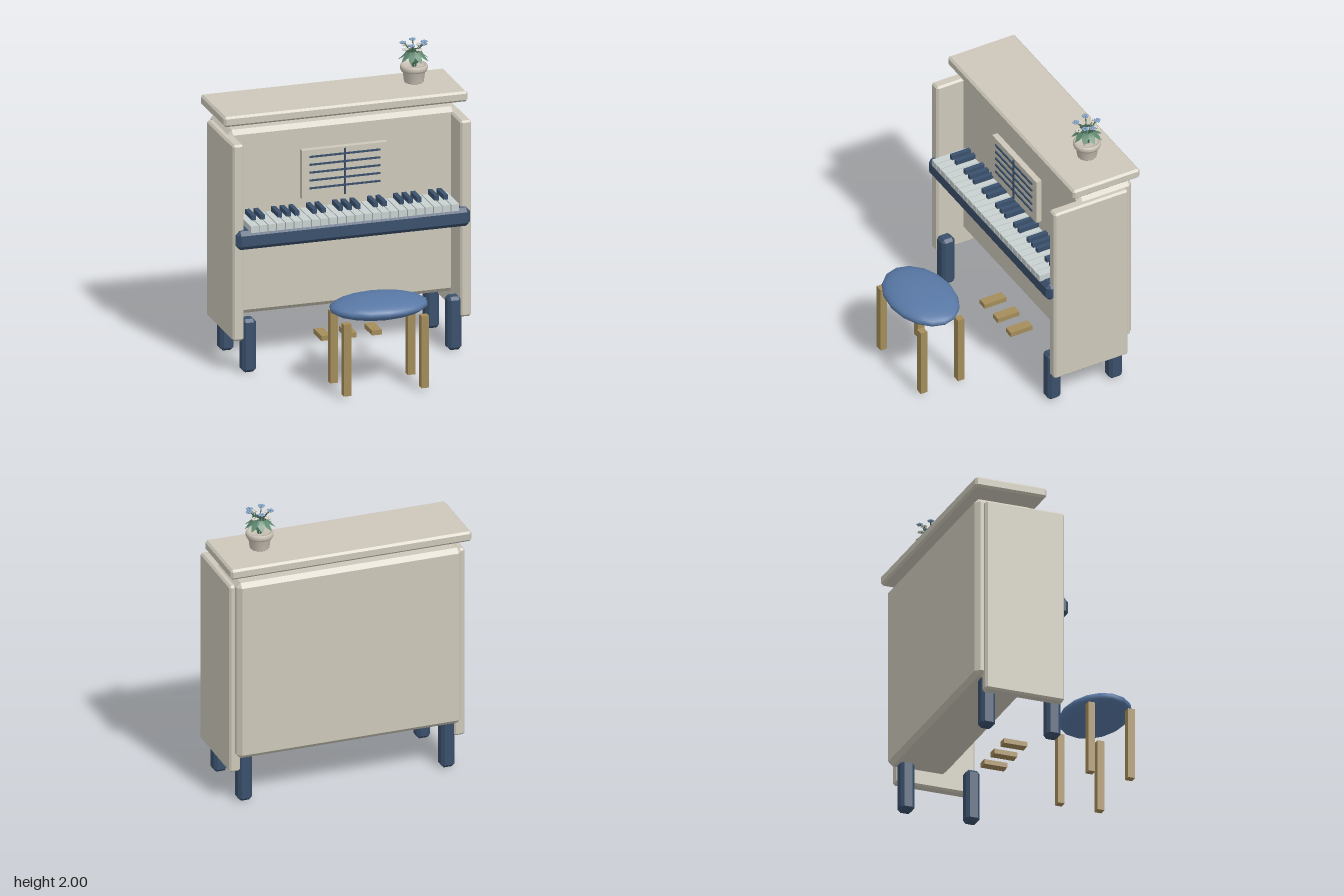
import * as THREE from 'three';
import { ConvexGeometry } from 'three/addons/geometries/ConvexGeometry.js';

const mat = (color, opts = {}) => new THREE.MeshStandardMaterial({ color, ...opts });
const cream = mat(0xcdc8ba);
const navy = mat(0x3a506c);
const wood = mat(0xa48c5a);
const keyWhite = mat(0xc8d0d0);
const cushion = mat(0x5878a5);
const potMat = mat(0xc8c0b4);
const leafMat = mat(0x5f8a70, { side: THREE.DoubleSide });
const stemMat = mat(0x4a6a55);
const petalMats = [mat(0x7f9fc4), mat(0xd6d3c8)];

// Box between two corners with every edge cut by a flat bevel b
function bevelBox(w, h, d, b) {
  const pts = [];
  const half = [w / 2, h / 2, d / 2];
  for (const sx of [-1, 1]) for (const sy of [-1, 1]) for (const sz of [-1, 1]) {
    for (let full = 0; full < 3; full++) {
      const c = half.map((v, i) => (i === full ? v : v - b));
      pts.push(new THREE.Vector3(sx * c[0], sy * c[1], sz * c[2]));
    }
  }
  return new ConvexGeometry(pts);
}

function block(parent, name, material, [x0, x1], [y0, y1], [z0, z1], bevel = 0) {
  const w = x1 - x0, h = y1 - y0, d = z1 - z0;
  const geo = bevel ? bevelBox(w, h, d, bevel) : new THREE.BoxGeometry(w, h, d);
  const mesh = new THREE.Mesh(geo, material);
  mesh.name = name;
  mesh.position.set((x0 + x1) / 2, (y0 + y1) / 2, (z0 + z1) / 2);
  parent.add(mesh);
  return mesh;
}

function group(parent, name) {
  const g = new THREE.Group();
  g.name = name;
  parent.add(g);
  return g;
}

// Cabinet, lid, side panels and feet
function buildCabinet(root) {
  const g = group(root, 'cabinet');
  block(g, 'body', cream, [-0.775, 0.775], [0.33, 1.587], [-0.67, -0.265], 0.03);
  block(g, 'lid', cream, [-0.828, 0.828], [1.64, 1.71], [-0.692, -0.197], 0.014);
  for (const s of [-1, 1]) {
    const side = s > 0 ? 'left' : 'right';
    block(g, side + 'SidePanel', cream, [s * 0.773 - 0.038, s * 0.773 + 0.038], [0.222, 1.558], [-0.615, -0.068], 0.013);
    for (const [name, z] of [['FrontLeg', -0.112], ['BackLeg', -0.566]]) {
      block(g, side + name, navy, [s * 0.698 - 0.047, s * 0.698 + 0.047], [0, 0.362], [z - 0.048, z + 0.048], 0.02);
    }
  }
  [-0.172, 0, 0.172].forEach((x) =>
    block(g, 'pedal', wood, [x - 0.033, x + 0.033], [0.157, 0.19], [-0.245, -0.085]));
}

// Key shelf with 24 white keys, black keys in groups of two and three
function buildKeyboard(root) {
  const g = group(root, 'keyboard');
  block(g, 'keyShelf', navy, [-0.794, 0.794], [0.848, 0.975], [-0.3, -0.027], 0.027);
  const pitch = 0.0592, start = -12 * pitch;
  for (let k = 0; k < 24; k++) {
    const x = start + k * pitch;
    block(g, 'whiteKey', keyWhite, [x + 0.003, x + pitch - 0.003], [0.97, 1.016], [-0.28, -0.014]).scale.y = 1;
    if (k % 7 !== 0 && k % 7 !== 3) {
      block(g, 'blackKey', navy, [x - 0.015, x + 0.015], [0.99, 1.048], [-0.28, -0.124]);
    }
  }
}

// Music desk with five bars and a centre post
function buildMusicDesk(root) {
  const g = group(root, 'musicDesk');
  block(g, 'deskBoard', cream, [-0.29, 0.29], [1.088, 1.417], [-0.28, -0.225]);
  for (let i = 0; i < 5; i++) {
    const y = 1.157 + i * 0.0535;
    block(g, 'deskBar', navy, [-0.24, 0.24], [y - 0.006, y + 0.006], [-0.235, -0.217]);
  }
  block(g, 'deskPost', navy, [-0.006, 0.006], [1.096, 1.407], [-0.235, -0.215]);
}

// Stool with an oval cushion
function buildStool(root) {
  const g = group(root, 'stool');
  const seat = new THREE.Mesh(new THREE.SphereGeometry(1, 16, 12), cushion);
  seat.name = 'seat';
  seat.scale.set(0.33, 0.072, 0.223);
  seat.position.set(0, 0.56, 0.467);
  g.add(seat);
  for (const x of [-0.264, 0.264]) for (const z of [0.329, 0.605]) {
    block(g, 'stoolLeg', wood, [x - 0.026, x + 0.026], [0.02, 0.51], [z - 0.024, z + 0.024]);
  }
}

// Leaf outline along +y, folded at its midrib and drooping at the tip
function leafGeometry() {
  const shape = new THREE.Shape();
  shape.moveTo(0, 0);
  shape.bezierCurveTo(0.036, 0.0, 0.03, 0.045, 0, 0.085);
  shape.bezierCurveTo(-0.03, 0.045, -0.036, 0.0, 0, 0);
  const geo = new THREE.ShapeGeometry(shape, 5);
  const p = geo.attributes.position;
  for (let i = 0; i < p.count; i++) {
    p.setZ(i, Math.abs(p.getX(i)) * 0.4 - p.getY(i) ** 2 * 2);
  }
  geo.computeVertexNormals();
  return geo;
}

// Flowering plant in a rimmed pot
function buildPlant(root) {
  const g = group(root, 'pottedPlant');
  g.position.set(0.546, 1.724, -0.456);
  const profile = [[0, 0], [0.06, 0], [0.064, 0.005], [0.074, 0.076], [0.086, 0.08], [0.091, 0.092],
    [0.091, 0.108], [0.085, 0.119], [0.074, 0.119], [0.07, 0.105], [0, 0.105]];
  const pot = new THREE.Mesh(new THREE.LatheGeometry(profile.map(([r, y]) => new THREE.Vector2(r, y)), 20), potMat);
  pot.name = 'pot';
  g.add(pot);

  const leafGeo = leafGeometry();
  const petalGeo = new THREE.SphereGeometry(0.0095, 8, 6);
  const count = 9;
  for (let i = 0; i < count; i++) {
    const spray = group(g, 'flowerStem');
    spray.rotation.y = (i / count) * Math.PI * 2;
    const tipR = 0.07, tipY = i % 2 ? 0.235 : 0.266;
    const curve = new THREE.QuadraticBezierCurve3(
      new THREE.Vector3(0.012, 0.1, 0), new THREE.Vector3(0.02, tipY - 0.03, 0), new THREE.Vector3(tipR, tipY, 0));
    const stem = new THREE.Mesh(new THREE.TubeGeometry(curve, 8, 0.004, 5), stemMat);
    stem.name = 'stem';
    spray.add(stem);
    // Five petals around the stem tip
    for (let j = 0; j < 5; j++) {
      const a = (j / 5) * Math.PI * 2;
      const petal = new THREE.Mesh(petalGeo, petalMats[i % 2]);
      petal.name = 'petal';
      petal.position.set(tipR + 0.014 * Math.cos(a), tipY, 0.014 * Math.sin(a));
      petal.scale.y = 0.65;
      spray.add(petal);
    }
    // Outer leaf hanging down, inner leaf standing up
    const outer = new THREE.Mesh(leafGeo, leafMat);
    outer.name = 'outerLeaf';
    outer.position.set(0.05, 0.218, 0);
    outer.rotation.set(0, Math.PI / 2, -2.65, 'ZYX');
    spray.add(outer);
    if (i % 2 === 0) {
      const inner = new THREE.Mesh(leafGeo, leafMat);
      inner.name = 'innerLeaf';
      inner.position.set(0.01, 0.125, 0);
      inner.rotation.set(0, Math.PI / 2, -0.45, 'ZYX');
      spray.add(inner);
    }
  }
}

export function createModel() {
  const root = new THREE.Group();
  root.name = 'pianoWithStool';
  buildCabinet(root);
  buildKeyboard(root);
  buildMusicDesk(root);
  buildStool(root);
  buildPlant(root);
  return root;
}
